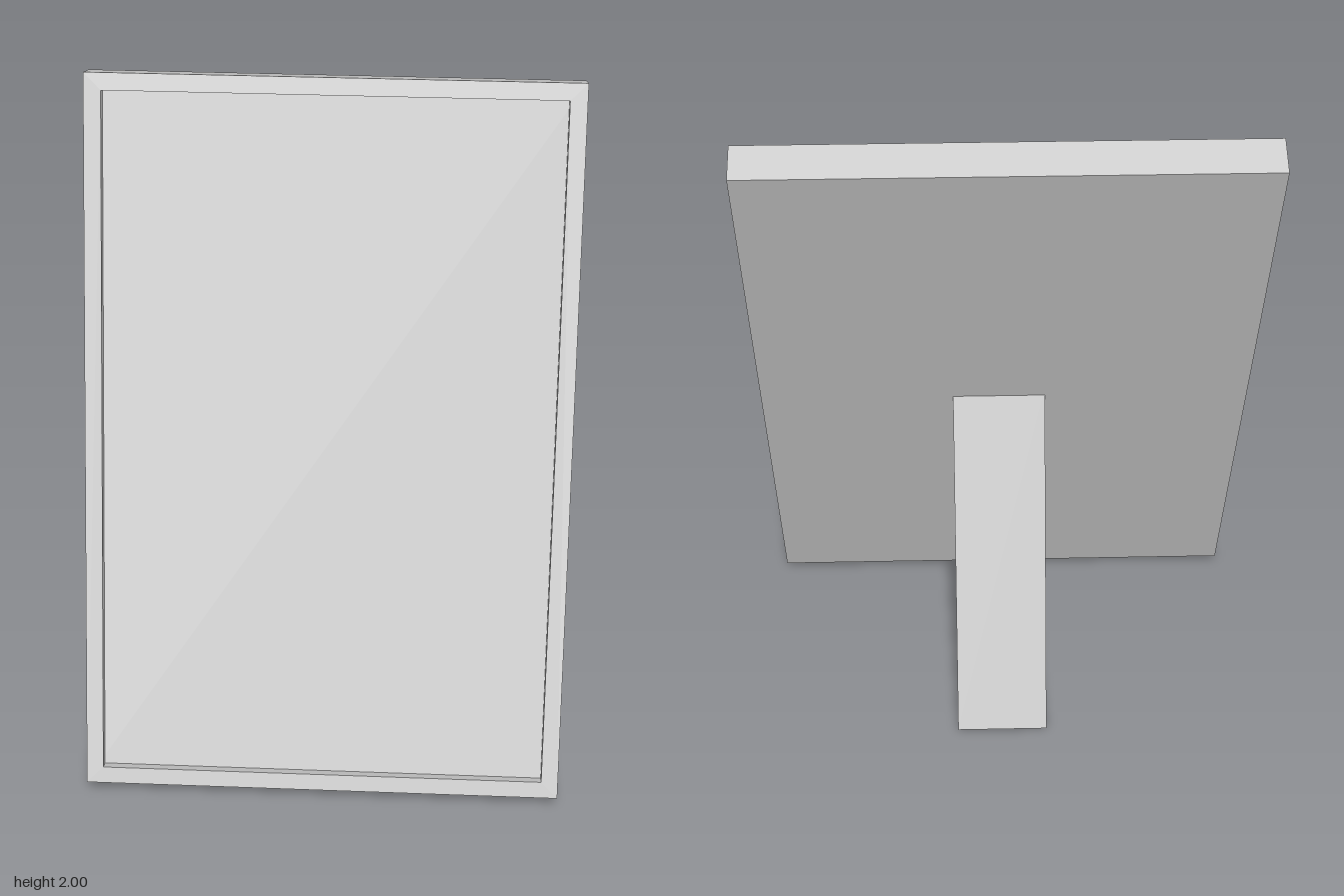
import * as THREE from 'three';

const W = 1.395, H = 2.09, DEPTH = 0.108; // overall frame size
const BORDER = 0.049, RECESS = 0.034;     // rim width and picture recess

function rectangle(target, w, h) {
  target.moveTo(-w / 2, -h / 2);
  target.lineTo(w / 2, -h / 2);
  target.lineTo(w / 2, h / 2);
  target.lineTo(-w / 2, h / 2);
  target.closePath();
  return target;
}

export function createModel() {
  const model = new THREE.Group();
  model.name = 'pictureFrame';
  const material = new THREE.MeshStandardMaterial({ color: 0xcccccc });

  function add(parent, name, geometry) {
    const mesh = new THREE.Mesh(geometry, material);
    mesh.name = name;
    parent.add(mesh);
    return mesh;
  }

  // Frame leaning backwards
  const frame = new THREE.Group();
  frame.name = 'frame';
  frame.position.set(0, 1.01, 0);
  frame.rotation.x = -0.382;
  model.add(frame);

  // Raised rim around the recessed picture
  const outline = rectangle(new THREE.Shape(), W, H);
  outline.holes.push(rectangle(new THREE.Path(), W - 2 * BORDER, H - 2 * BORDER));
  const rim = add(frame, 'rim', new THREE.ExtrudeGeometry(outline, { depth: RECESS, bevelEnabled: false }));
  rim.position.z = DEPTH / 2 - RECESS;

  // Solid backing whose front is the picture surface
  const backing = add(frame, 'backing', new THREE.BoxGeometry(W, H, DEPTH - RECESS));
  backing.position.z = -RECESS / 2;

  // Rear easel leg, its top end sunk into the backing
  const length = 1.06, tilt = 0.365;
  const leg = add(model, 'easelLeg', new THREE.BoxGeometry(0.264, length, 0.032));
  leg.rotation.x = tilt;
  leg.position.set(0.016, 0.006 + Math.cos(tilt) * length / 2, -0.404 + Math.sin(tilt) * length / 2);

  return model;
}
